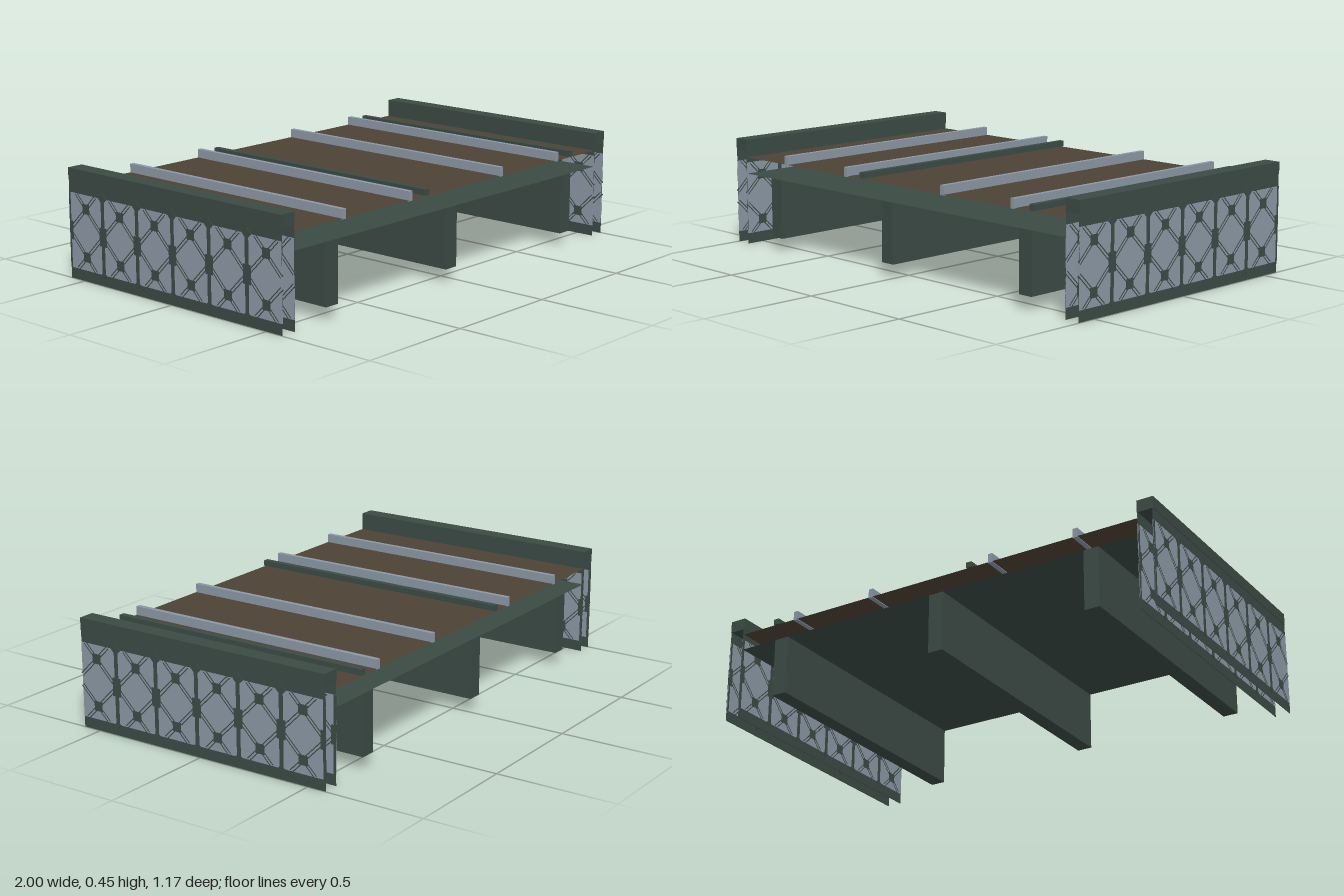
import * as THREE from 'three';

export function createModel() {
  const model = new THREE.Group();
  model.name = 'bridgeSection';

  const material = (name, color, side = THREE.FrontSide) => {
    const m = new THREE.MeshStandardMaterial({ color, side });
    m.name = name;
    return m;
  };
  const green = material('greenSteel', 0x3b4a44, THREE.DoubleSide);
  const grey = material('greySteel', 0x8b97a5);
  const brown = material('brownDeck', 0x4c4235, THREE.DoubleSide);

  const HALF = 0.58; // half the length along z

  function box(name, mat, x0, x1, y0, y1, z0 = -HALF, z1 = HALF, parent = model) {
    const mesh = new THREE.Mesh(new THREE.BoxGeometry(x1 - x0, y1 - y0, z1 - z0), mat);
    mesh.position.set((x0 + x1) / 2, (y0 + y1) / 2, (z0 + z1) / 2);
    mesh.name = name;
    parent.add(mesh);
    return mesh;
  }

  // Deck: two open sheets with no end caps
  function sheet(name, mat, y) {
    const mesh = new THREE.Mesh(new THREE.PlaneGeometry(1.86, 2 * HALF), mat);
    mesh.rotation.x = -Math.PI / 2;
    mesh.position.y = y;
    mesh.name = name;
    model.add(mesh);
  }
  sheet('deckSurface', brown, 0.375);
  sheet('deckUnderside', green, 0.305);

  // Girders under the deck
  for (const x of [-0.7325, -0.035, 0.7275]) box('girder', green, x - 0.0325, x + 0.0325, 0.055, 0.305);

  // Running rails and the lower conductor rails
  for (const x of [-0.665, -0.285, 0.282, 0.66]) box('runningRail', grey, x - 0.01, x + 0.01, 0.372, 0.411);
  for (const x of [-0.187, 0.76]) box('conductorRail', green, x - 0.012, x + 0.012, 0.378, 0.402);

  // Lattice panel: green sheet, grey field, green bracing on both faces
  function latticePanel(x) {
    const panel = new THREE.Group();
    panel.name = 'latticePanel';
    panel.position.x = x;
    model.add(panel);

    const LOW = 0.045, HIGH = 0.352, PITCH = 0.197;
    const plate = (name, mat, t, y0, y1, z0, z1) =>
      box(name, mat, -t, t, y0, y1, Math.max(z0, -HALF), Math.min(z1, HALF), panel);

    plate('panelFrame', green, 0.001, 0, 0.4, -HALF, HALF);
    plate('panelField', grey, 0.002, LOW, HIGH, -HALF, HALF);

    for (let k = 0; k < 6; k++) {
      // Post with gussets
      const post = 0.405 - k * PITCH;
      plate('post', green, 0.003, LOW, HIGH, post - 0.009, post + 0.009);
      plate('middleGusset', green, 0.003, 0.16, 0.236, post - 0.02, post + 0.02);
      if (k < 5) {
        for (const [y, s] of [[HIGH, 0.034], [LOW, 0.022]]) {
          const g = plate('cornerGusset', green, 0.003, y - s / 2, y + s / 2, post - s / 2, post + s / 2);
          g.rotation.x = Math.PI / 4;
        }
      }
      // Two crosses in each bay, with paired diagonal bars
      const bay = post + PITCH / 2;
      for (const y of [0.295, 0.1]) {
        plate('crossGusset', green, 0.003, y - 0.02, y + 0.02, bay - 0.02, bay + 0.02);
        for (const sy of [-1, 1]) for (const sz of [-1, 1]) {
          const reach = Math.min(0.096, sy > 0 ? HIGH - y : y - LOW, HALF - sz * bay);
          for (const offset of [-0.006, 0.006]) {
            const bar = new THREE.Mesh(new THREE.BoxGeometry(0.005, 0.004, reach * Math.SQRT2), green);
            bar.name = 'diagonalBar';
            bar.rotation.x = -sy * sz * Math.PI / 4;
            bar.position.set(0, y + sy * reach / 2 + offset * Math.SQRT1_2,
              bay + sz * reach / 2 - sy * sz * offset * Math.SQRT1_2);
            panel.add(bar);
          }
        }
      }
    }
  }

  // Each side: a cap beam over an inner and an outer panel
  for (const side of [-1, 1]) {
    box('capBeam', green, side * 0.965 - 0.035, side * 0.965 + 0.035, 0.4, 0.45);
    latticePanel(side * 0.997);
    latticePanel(side * 0.933);
  }
  return model;
}
